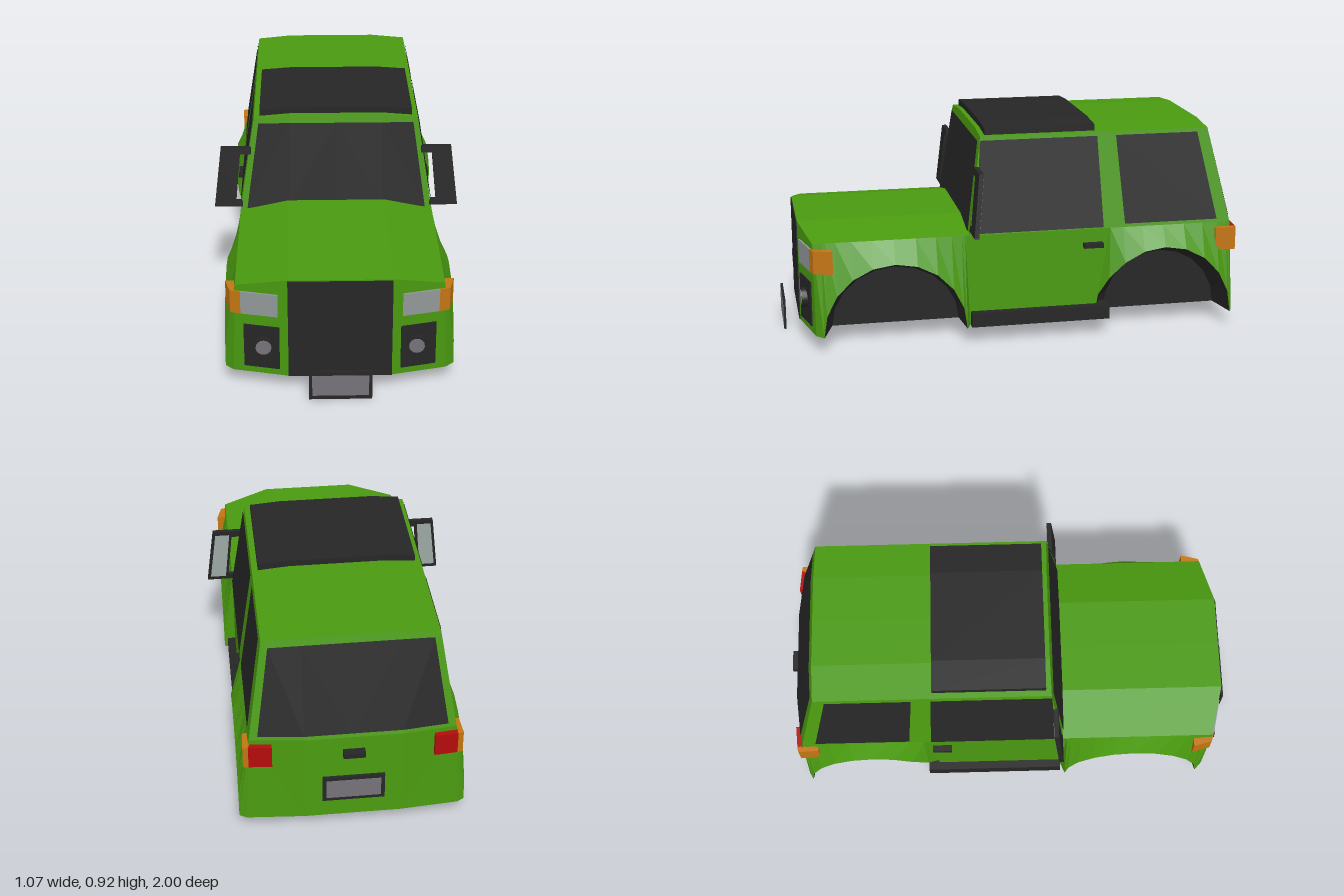
import * as THREE from 'three';

const mat = (name, color, side = THREE.DoubleSide) => {
  const m = new THREE.MeshStandardMaterial({ color, side });
  m.name = name;
  return m;
};
const green = mat('green paint', 0x4a9a10);
const black = mat('black trim', 0x262626);
const lamp = mat('headlight grey', 0x929898);
const grey = mat('plate grey', 0x757377);
const orange = mat('indicator orange', 0xc47612);
const red = mat('tail light red', 0xb40c0c);
const silver = mat('mirror silver', 0xa2aeaa);

const FLOOR = 0.07, BELT = 0.47;
const clamp = THREE.MathUtils.clamp;

export function createModel() {
  const model = new THREE.Group();
  model.name = 'carBody';

  const add = (name, geo, material) => {
    const mesh = new THREE.Mesh(geo, material);
    mesh.name = name;
    model.add(mesh);
    return mesh;
  };

  // flat polygons given as point lists; s = -1 mirrors them to the right side
  const faces = (name, polys, material, s = 1) => {
    const pos = [];
    for (const p of polys) {
      for (let i = 1; i < p.length - 1; i++) {
        const tri = s > 0 ? [p[0], p[i], p[i + 1]] : [p[0], p[i + 1], p[i]];
        for (const [x, y, z] of tri) pos.push(x * s, y, z);
      }
    }
    const g = new THREE.BufferGeometry();
    g.setAttribute('position', new THREE.Float32BufferAttribute(pos, 3));
    g.computeVertexNormals();
    return add(name, g, material);
  };

  // quads between neighbouring [top, bottom] columns
  const strip = (cols) => cols.slice(1).map((c, i) => [cols[i][0], cols[i][1], c[1], c[0]]);

  // prism standing on a plan outline of [x, z] points
  const block = (name, plan, y0, y1, material, s = 1) => {
    const shape = new THREE.Shape(plan.map(([x, z]) => new THREE.Vector2(x * s, -z)));
    const g = new THREE.ExtrudeGeometry(shape, { depth: y1 - y0, bevelEnabled: false });
    add(name, g.rotateX(-Math.PI / 2).translate(0, y0, 0), material);
  };
  const box = (name, x0, x1, y0, y1, z0, z1, material, s = 1) =>
    block(name, [[x0, z0], [x1, z0], [x1, z1], [x0, z1]], y0, y1, material, s);

  // wheel arch outline, front to rear
  const arch = (c, rz, ry, xAt) => Array.from({ length: 11 }, (_, i) => {
    const a = Math.PI * i / 10, z = c + rz * Math.cos(a);
    return [xAt(z), FLOOR + ry * Math.sin(a), z];
  });
  const rearFlare = (z) => clamp(0.42 + (-z - 0.35) / 0.06 * 0.05, 0.42, 0.47);
  const wells = [
    { name: 'front', outer: arch(0.54, 0.305, 0.305, () => 0.47), inner: arch(0.525, 0.275, 0.25, () => 0.32), lo: 0.215, hi: 0.86 },
    { name: 'rear', outer: arch(-0.637, 0.303, 0.313, rearFlare), inner: arch(-0.655, 0.255, 0.255, () => 0.32), lo: -0.94, hi: -0.4 },
  ];
  const archCols = (w) => w.outer.map((p) => [[0.42, BELT, clamp(p[2], w.lo, w.hi)], p]);

  // lower body skin from the middle of the nose to the middle of the tail
  const noseCols = [
    [[0, 0.515, 0.93], [0, FLOOR, 0.93]],
    [[0.21, 0.515, 0.93], [0.21, FLOOR, 0.93]],
    [[0.42, BELT, 0.88], [0.435, FLOOR, 0.877]],
  ];
  const doorCol = [[0.42, BELT, 0.215], [0.42, FLOOR, 0.215]];
  const tailCols = [
    [[0.42, BELT, -0.94], [0.44, FLOOR, -0.957]],
    [[0.2, BELT, -0.965], [0.2, FLOOR, -0.975]],
    [[0, BELT, -0.965], [0, FLOOR, -0.975]],
  ];
  const bodyCols = [...noseCols, ...archCols(wells[0]), doorCol, ...archCols(wells[1]), ...tailCols];

  // cabin columns, roof edge over belt line
  const cabinCols = [
    [[0, 0.893, 0.155], [0, 0.515, 0.215]],
    [[0.2, 0.893, 0.155], [0.2, 0.515, 0.215]],
    [[0.355, 0.88, 0.158], [0.42, BELT, 0.215]],
    [[0.355, 0.88, -0.845], [0.42, BELT, -0.94]],
    [[0.2, 0.893, -0.85], [0.2, BELT, -0.965]],
    [[0, 0.893, -0.85], [0, BELT, -0.965]],
  ];
  const roof = cabinCols.map((c) => c[0]);

  const noseZ = (x, out) => 0.93 - (x - 0.21) * 0.238 + out;   // slanted nose corner
  const nosePlan = (x0, x1, out) =>
    [[x0, noseZ(x0, -0.015)], [x0, noseZ(x0, out)], [x1, noseZ(x1, out)], [x1, noseZ(x1, -0.015)]];
  const sideX = (y) => 0.424 - (y - BELT) * 0.1585;            // sloping cabin side
  const sideGlass = (pts) => [pts.map(([z, y]) => [sideX(y), y, z])];

  for (const s of [1, -1]) {
    const side = s > 0 ? 'left' : 'right';
    faces(side + 'BodySide', strip(bodyCols), green, s);
    faces(side + 'Cabin', strip(cabinCols), green, s);
    faces(side + 'Roof', [
      [roof[0], roof[1], roof[4], roof[5]],
      [roof[1], roof[2], roof[3], roof[4]],
    ], green, s);
    faces(side + 'Hood', [
      [[0, 0.515, 0.93], [0.21, 0.515, 0.93], [0.21, 0.515, 0.215], [0, 0.515, 0.215]],
      [[0.21, 0.515, 0.93], [0.42, BELT, 0.88], [0.42, BELT, 0.215], [0.21, 0.515, 0.215]],
    ], green, s);

    // tapering wheel wells
    for (const w of wells) {
      const band = strip(w.outer.map((p, i) => [w.inner[i], p]));
      faces(`${side}-${w.name}WheelWell`, [...band, w.inner.slice().reverse()], black, s);
    }

    // glass
    faces(side + 'Windshield', strip([
      [[0, 0.86, 0.167], [0, 0.507, 0.222]],
      [[0.2, 0.86, 0.167], [0.2, 0.507, 0.222]],
      [[0.335, 0.86, 0.167], [0.39, 0.478, 0.22]],
    ]), black, s);
    faces(side + 'RearWindow', strip([
      [[0.33, 0.86, -0.858], [0.385, 0.49, -0.946]],
      [[0.2, 0.865, -0.864], [0.2, 0.49, -0.966]],
      [[0, 0.865, -0.864], [0, 0.49, -0.966]],
    ]), black, s);
    faces(side + 'FrontDoorWindow', sideGlass([[0.16, 0.865], [0.187, 0.475], [-0.37, 0.475], [-0.35, 0.865]]), black, s);
    faces(side + 'RearSideWindow', sideGlass([[-0.433, 0.865], [-0.465, 0.485], [-0.88, 0.485], [-0.797, 0.865]]), black, s);

    // lights
    block(side + 'Headlight', nosePlan(0.25, 0.4, 0.008), 0.345, 0.445, lamp, s);
    block(side + 'FrontIndicator', [[0.4, 0.87], [0.4, noseZ(0.4, 0.008)], [0.442, 0.88], [0.463, 0.8], [0.41, 0.8]], 0.345, 0.445, orange, s);
    block(side + 'TailLight', [[0.33, -0.94], [0.33, -0.972], [0.425, -0.964], [0.425, -0.94]], 0.35, 0.45, red, s);
    block(side + 'RearIndicator', [[0.415, -0.93], [0.425, -0.965], [0.447, -0.96], [0.443, -0.87], [0.415, -0.87]], 0.35, 0.45, orange, s);
    block(side + 'FogLightPanel', nosePlan(0.245, 0.39, 0.006), 0.1, 0.295, black, s);
    const rim = new THREE.CylinderGeometry(0.042, 0.042, 0.05, 16).rotateX(Math.PI / 2);
    add(side + 'FogLightRim', rim.translate(0.31 * s, 0.205, 0.902), black);
    const lens = new THREE.CylinderGeometry(0.032, 0.032, 0.006, 16).rotateX(Math.PI / 2);
    add(side + 'FogLightLens', lens.translate(0.31 * s, 0.205, 0.928), grey);

    // sill and door handle
    box(side + 'Sill', 0.38, 0.455, 0.068, 0.13, -0.395, 0.213, black, s);
    box(side + 'DoorHandle', 0.41, 0.448, 0.39, 0.41, -0.365, -0.28, black, s);

    // wing mirror, leaning with the windshield
    const lean = (y) => 0.195 - (y - 0.485) * 0.1;
    const outline = [[0.5, 0.755], [0.37, 0.755], [0.37, 0.725], [0.417, 0.725],
      [0.438, 0.51], [0.41, 0.51], [0.41, 0.485], [0.533, 0.485]];
    const g = new THREE.ExtrudeGeometry(
      new THREE.Shape(outline.map(([x, y]) => new THREE.Vector2(x * s, y))), { depth: 0.02, bevelEnabled: false });
    const p = g.attributes.position;
    for (let i = 0; i < p.count; i++) p.setZ(i, p.getZ(i) + lean(p.getY(i)));
    g.computeVertexNormals();
    add(side + 'Mirror', g, black);
    faces(side + 'MirrorGlass', [[[0.49, 0.738], [0.427, 0.738], [0.45, 0.503], [0.519, 0.503]]
      .map(([x, y]) => [x, y, lean(y) - 0.003]).reverse()].map((q) => q.reverse()).map((q) => [q[0], q[3], q[2], q[1]]), silver, s);
  }

  // underside, notched around the wheel wells
  const wellPlan = (w) => [w.outer[0], w.inner[0], w.inner[10], w.outer[10]];
  const half = [noseCols[1][1], noseCols[2][1], ...wellPlan(wells[0]), doorCol[1], ...wellPlan(wells[1]), tailCols[0][1], tailCols[1][1]];
  const ring = [...half, ...half.slice().reverse().map(([x, y, z]) => [-x, y, z])];
  const under = new THREE.ShapeGeometry(new THREE.Shape(ring.map(([x, , z]) => new THREE.Vector2(x, z))));
  add('underside', under.rotateX(Math.PI / 2).translate(0, FLOOR, 0), black);

  // raised roof panel
  const panel = new THREE.Shape([[-0.33, 0.875], [0.33, 0.875], [0.33, 0.91], [0.2, 0.92], [-0.2, 0.92], [-0.33, 0.91]]
    .map(([x, y]) => new THREE.Vector2(x, y)));
  add('roofPanel', new THREE.ExtrudeGeometry(panel, { depth: 0.48, bevelEnabled: false }).translate(0, 0, -0.345), black);

  // grille, plates and tailgate handle
  box('grille', -0.21, 0.21, FLOOR, 0.51, 0.925, 0.934, black);
  box('frontPlateFrame', -0.128, 0.128, 0, 0.13, 0.988, 0.998, black);
  box('frontPlate', -0.115, 0.115, 0.018, 0.112, 0.994, 1, grey);
  box('rearPlateFrame', -0.128, 0.128, 0.153, 0.275, -0.982, -0.96, black);
  box('rearPlate', -0.112, 0.112, 0.17, 0.258, -0.985, -0.978, grey);
  box('tailgateHandle', -0.045, 0.045, 0.388, 0.412, -1, -0.96, black);

  return model;
}
